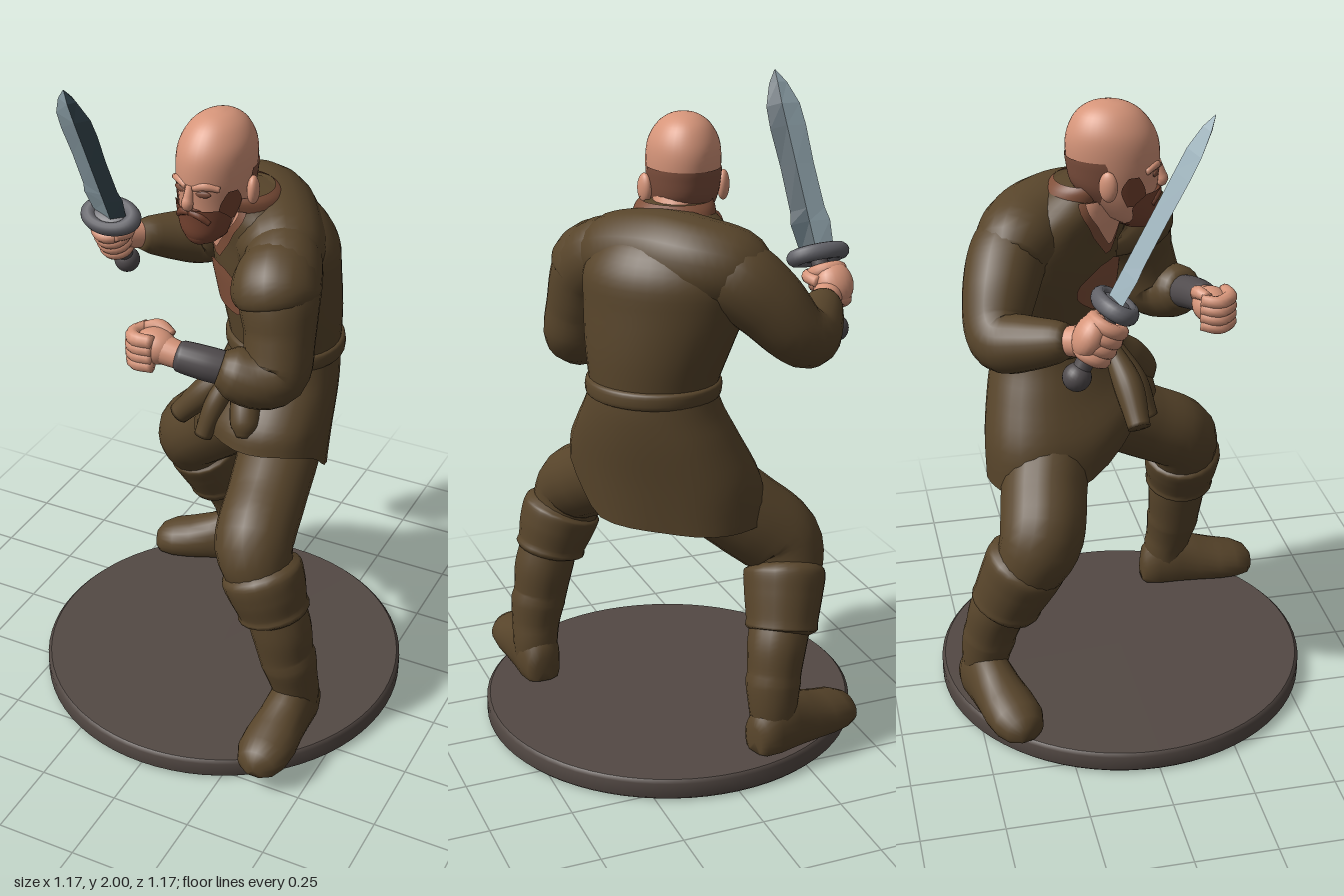
import * as THREE from 'three';
import { mergeVertices } from 'three/addons/utils/BufferGeometryUtils.js';

const mat = (name, color, side = THREE.FrontSide) => {
  const m = new THREE.MeshStandardMaterial({ color, side });
  m.name = name;
  return m;
};
const V = (x, y, z) => new THREE.Vector3(x, y, z);

// Skin a list of point rows into a surface, smooth or faceted
function loft(rows, { caps = true, flat = false } = {}) {
  const n = rows[0].length;
  if (caps) {
    const mid = (r) => {
      const c = V(0, 0, 0);
      r.slice(0, n - 1).forEach((p) => c.add(p));
      c.divideScalar(n - 1);
      return r.map(() => c.clone());
    };
    rows = [mid(rows[0]), ...rows, mid(rows[rows.length - 1])];
  }
  const index = [];
  for (let i = 0; i < rows.length - 1; i++) {
    for (let j = 0; j < n - 1; j++) {
      const a = i * n + j, b = a + n;
      index.push(a, a + 1, b + 1, a, b + 1, b);
    }
  }
  let g = new THREE.BufferGeometry().setFromPoints(rows.flat());
  g.setIndex(index);
  g = flat ? g.toNonIndexed() : mergeVertices(g, 1e-5);
  g.computeVertexNormals();
  return g;
}

// Round tapering limb through [x, y, z, radius] points
function limb(pts, steps = 24, sides = 20) {
  const curve = new THREE.CatmullRomCurve3(pts.map((p) => V(p[0], p[1], p[2])));
  const radii = new THREE.SplineCurve(pts.map((p, i) => new THREE.Vector2(i, p[3])));
  const f = curve.computeFrenetFrames(steps, false);
  const rows = [];
  for (let i = 0; i <= steps; i++) {
    const t = curve.getUtoTmapping(i / steps);
    const c = curve.getPoint(t), r = radii.getPoint(t).y;
    rows.push(Array.from({ length: sides + 1 }, (_, j) => {
      const a = (j / sides) * Math.PI * 2;
      return c.clone().addScaledVector(f.normals[i], r * Math.cos(a)).addScaledVector(f.binormals[i], r * Math.sin(a));
    }));
  }
  return loft(rows);
}

// Stacked level rings, bottom to top: [y, cx, cz, halfWidth, halfDepth, halfAngle]
function stack(rings, { yaw = 0, centre = 0, grow = 0, caps = true, rule } = {}) {
  const sides = 36, sub = 4, cs = Math.cos(yaw), sn = Math.sin(yaw);
  const rows = [];
  const curves = [1, 2, 3, 4, 5].map((k) => new THREE.SplineCurve(rings.map((r) => new THREE.Vector2(r[0], r[k] ?? Math.PI))));
  const total = (rings.length - 1) * sub;
  for (let i = 0; i <= total; i++) {
    const [cx, cz, w, d, half] = curves.map((c) => c.getPoint(i / total).y);
    const y = curves[0].getPoint(i / total).x;
    rows.push(Array.from({ length: sides + 1 }, (_, j) => {
      const a = centre + half * ((2 * j) / sides - 1);
      const x = (w + grow) * Math.sin(a), z = (d + grow) * Math.cos(a);
      const p = V(cx + x * cs - z * sn, y, cz + x * sn + z * cs);
      if (rule) rule(p, i / total, a);
      return p;
    }));
  }
  return loft(rows, { caps });
}

// Flat-soled shoe pointing along +z: [z, halfWidth, topHeight]
function shoe() {
  const prof = [[-0.085, 0.03, 0.08], [-0.075, 0.055, 0.12], [-0.03, 0.07, 0.17], [0.04, 0.072, 0.175],
    [0.11, 0.077, 0.14], [0.18, 0.085, 0.115], [0.24, 0.082, 0.1], [0.285, 0.062, 0.078], [0.305, 0.025, 0.05]];
  return loft(prof.map(([z, w, h]) => Array.from({ length: 25 }, (_, j) => {
    const a = (j / 24) * Math.PI * 2;
    return V(w * Math.cos(a), Math.max(0, h * 0.35 + h * 0.65 * Math.sin(a)), z);
  })));
}

export function createModel() {
  const model = new THREE.Group();
  const cloth = mat('brown cloth', 0x58452b, THREE.DoubleSide);
  const stone = mat('base brown', 0x534944);
  const skin = mat('skin', 0xd6957a);
  const beardMat = mat('beard brown', 0x774431, THREE.DoubleSide);
  const rust = mat('rust undershirt', 0x80503a, THREE.DoubleSide);
  const stubble = mat('stubble', 0x7d4f3d, THREE.DoubleSide);
  const bladeLight = mat('light steel', 0x9bb0b9, THREE.DoubleSide);
  const bladeDark = mat('dark steel', 0x3d5059, THREE.DoubleSide);
  const iron = mat('iron', 0x626268);
  const leather = mat('grey leather', 0x504b4d);

  const add = (name, geo, m, parent = model) => {
    const mesh = new THREE.Mesh(geo, m);
    mesh.name = name;
    parent.add(mesh);
    return mesh;
  };
  const ball = (name, m, x, y, z, rx, ry, rz, parent = model) => {
    const b = add(name, new THREE.SphereGeometry(1, 24, 16), m, parent);
    b.position.set(x, y, z);
    b.scale.set(rx, ry, rz);
    return b;
  };

  // Round stand with a softened rim
  add('stand', new THREE.LatheGeometry([[0, 0], [0.575, 0], [0.575, 0], [0.585, 0.01], [0.585, 0.055], [0.575, 0.065], [0.575, 0.065], [0, 0.065]]
    .map(([x, y]) => new THREE.Vector2(x, y)), 72), stone);

  // Legs: trousers, turned-down cuffs, boot shafts
  add('leftTrouser', limb([[0.14, 0.97, -0.17, 0.11], [0.17, 0.88, -0.06, 0.125], [0.2, 0.785, 0.11, 0.122], [0.225, 0.7, 0.25, 0.12], [0.255, 0.61, 0.265, 0.105], [0.28, 0.53, 0.265, 0.09]]), cloth);
  add('rightTrouser', limb([[0.06, 0.97, -0.19, 0.11], [-0.01, 0.87, -0.225, 0.13], [-0.14, 0.76, -0.265, 0.132], [-0.25, 0.66, -0.295, 0.128], [-0.257, 0.58, -0.33, 0.11], [-0.23, 0.5, -0.37, 0.09]]), cloth);
  add('leftCuff', limb([[0.25, 0.645, 0.265, 0.1], [0.258, 0.625, 0.267, 0.125], [0.278, 0.57, 0.268, 0.122], [0.297, 0.51, 0.268, 0.11], [0.303, 0.49, 0.268, 0.112], [0.306, 0.478, 0.268, 0.088]]), cloth);
  add('rightCuff', limb([[-0.25, 0.6, -0.33, 0.1], [-0.246, 0.58, -0.34, 0.124], [-0.232, 0.52, -0.365, 0.12], [-0.215, 0.445, -0.395, 0.11], [-0.21, 0.42, -0.403, 0.11], [-0.207, 0.408, -0.408, 0.088]]), cloth);
  add('leftBoot', limb([[0.3, 0.52, 0.268, 0.092], [0.327, 0.43, 0.265, 0.094], [0.343, 0.34, 0.262, 0.086], [0.351, 0.315, 0.26, 0.088], [0.364, 0.24, 0.25, 0.077], [0.37, 0.19, 0.24, 0.073], [0.37, 0.11, 0.235, 0.068]]), cloth);
  add('rightBoot', limb([[-0.215, 0.45, -0.39, 0.092], [-0.185, 0.38, -0.425, 0.09], [-0.168, 0.3, -0.447, 0.082], [-0.163, 0.275, -0.452, 0.084], [-0.158, 0.22, -0.463, 0.077], [-0.157, 0.12, -0.47, 0.066]]), cloth);
  [['leftShoe', 0.369, 0.24, 0], ['rightShoe', -0.165, -0.473, -1.27]].forEach(([name, x, z, turn]) => {
    const s = add(name, shoe(), cloth);
    s.position.set(x, 0.072, z);
    s.rotation.y = turn;
  });
  ball('trouserSeat', cloth, 0.08, 0.94, -0.18, 0.15, 0.12, 0.15);

  // Tunic body, turned towards the right hand
  const yaw = 0.7;
  const torso = [[1.13, 0.12, -0.185, 0.185, 0.16], [1.2, 0.118, -0.185, 0.193, 0.166], [1.3, 0.105, -0.188, 0.217, 0.175], [1.42, 0.085, -0.19, 0.242, 0.18],
    [1.52, 0.075, -0.187, 0.247, 0.178], [1.6, 0.056, -0.162, 0.2, 0.16], [1.65, 0.035, -0.13, 0.14, 0.125], [1.69, 0.015, -0.095, 0.09, 0.09]];
  add('tunicBody', stack(torso, { yaw }), cloth);
  add('shoulderYoke', limb([[-0.13, 1.5, -0.35, 0.09], [-0.08, 1.53, -0.325, 0.122], [0.01, 1.545, -0.265, 0.138], [0.09, 1.55, -0.16, 0.142], [0.175, 1.53, -0.03, 0.125], [0.2, 1.5, 0.02, 0.09]]), cloth);

  // Long skirt: hem high in front, low behind, with soft folds
  add('tunicSkirt', stack([[0.86, 0.06, -0.14, 0.318, 0.202], [0.95, 0.068, -0.148, 0.306, 0.205], [1.05, 0.098, -0.168, 0.256, 0.188], [1.12, 0.115, -0.18, 0.215, 0.174], [1.18, 0.12, -0.185, 0.19, 0.164]], {
    yaw: 0.93, caps: false,
    rule: (p, t, a) => {
      const k = (1 - t) ** 2;
      p.y += (0.17 * THREE.MathUtils.smoothstep(p.z, -0.19, 0.12) - 0.095) * k;
      p.x += 0.005 * Math.sin(a * 7) * k;
      p.z += 0.005 * Math.cos(a * 7) * k;
    },
  }), cloth);
  add('belt', stack([[1.15, 0.12, -0.185, 0.185, 0.163], [1.16, 0.12, -0.185, 0.2, 0.178], [1.195, 0.118, -0.186, 0.202, 0.178], [1.205, 0.118, -0.186, 0.19, 0.165]], { yaw }), cloth);

  // Belt knot, hanging ends and pouch
  ball('beltKnot', cloth, 0.05, 1.15, -0.02, 0.05, 0.035, 0.04);
  add('sashEnd', limb([[0.03, 1.13, -0.02, 0.03], [-0.05, 1.04, 0.015, 0.045], [-0.14, 0.94, 0.03, 0.035]]), cloth);
  add('sashTail', limb([[0.04, 1.14, -0.01, 0.025], [0.0, 1.03, 0.05, 0.035], [-0.03, 0.92, 0.085, 0.028]]), cloth);
  add('pouch', limb([[0.07, 1.15, 0.0, 0.025], [0.1, 1.08, 0.055, 0.045], [0.12, 1.01, 0.1, 0.045], [0.125, 0.975, 0.115, 0.025]]), cloth);
  add('beltStrap', limb([[0.13, 1.13, 0.025, 0.015], [0.19, 1.12, 0.025, 0.026], [0.26, 1.145, -0.025, 0.018]]), leather);

  // Undershirt and bare throat showing through the open tunic front
  const chest = (y, half) => {
    const i = Math.min(torso.findIndex((r) => r[0] > y), torso.length - 1);
    const lo = torso[i - 1], hi = torso[i], t = (y - lo[0]) / (hi[0] - lo[0]);
    return [...lo.map((v, k) => THREE.MathUtils.lerp(v, hi[k], t)), half];
  };
  add('undershirt', stack([chest(1.31, 0.3), chest(1.36, 0.55), chest(1.41, 0.5), chest(1.45, 0.15)], { yaw, grow: 0.009, caps: false }), rust);
  add('openCollar', stack([chest(1.48, 0.06), chest(1.55, 0.34), chest(1.6, 0.55), chest(1.66, 1)], { yaw, grow: 0.01, caps: false }), rust);
  add('throat', stack([chest(1.51, 0.04), chest(1.56, 0.24), chest(1.6, 0.42), chest(1.66, 0.85)], { yaw, grow: 0.015, caps: false }), skin);
  add('collar', stack([[1.64, 0.03, -0.12, 0.125, 0.115, 2.4], [1.68, 0.018, -0.1, 0.118, 0.11, 2.4], [1.7, 0.01, -0.09, 0.105, 0.1, 2.3]], { yaw, centre: Math.PI, caps: false }), rust);
  add('neck', limb([[0.02, 1.56, -0.11, 0.085], [0, 1.63, -0.08, 0.082], [-0.025, 1.72, -0.045, 0.082]]), skin);

  // Left arm held across the chest
  add('leftSleeve', limb([[0.13, 1.55, -0.08, 0.09], [0.185, 1.53, -0.005, 0.115], [0.214, 1.46, 0.075, 0.12], [0.236, 1.35, 0.115, 0.104], [0.235, 1.25, 0.15, 0.102], [0.195, 1.24, 0.19, 0.09], [0.13, 1.262, 0.218, 0.076], [0.1, 1.272, 0.228, 0.052]], 36), cloth);
  add('leftShoulderFold', limb([[0.17, 1.55, -0.01, 0.09], [0.19, 1.515, 0.035, 0.12], [0.208, 1.465, 0.085, 0.13], [0.216, 1.435, 0.095, 0.108]]), cloth);
  add('leftBracer', limb([[0.13, 1.262, 0.212, 0.05], [0.06, 1.28, 0.238, 0.051], [-0.015, 1.295, 0.256, 0.046], [-0.025, 1.297, 0.258, 0.035]]), leather);
  add('leftWrist', limb([[0.0, 1.292, 0.254, 0.038], [-0.07, 1.305, 0.258, 0.044]]), skin);
  ball('leftPalm', skin, -0.095, 1.308, 0.255, 0.066, 0.054, 0.056);
  for (let i = 0; i < 4; i++) {
    const y = 1.344 - i * 0.026, out = 0.006 * Math.sin((i + 0.5) * 0.8);
    add('leftFinger', limb([[-0.08, y, 0.3, 0.02], [-0.135, y, 0.302, 0.022], [-0.158 - out, y - 0.004, 0.262, 0.021], [-0.14, y, 0.215, 0.018]], 12, 10), skin);
  }
  add('leftThumb', limb([[-0.06, 1.33, 0.22, 0.02], [-0.1, 1.352, 0.215, 0.021], [-0.14, 1.35, 0.235, 0.016]], 10, 10), skin);

  // Right arm drawn back with the weapon
  add('rightSleeve', limb([[0.0, 1.54, -0.27, 0.1], [-0.07, 1.52, -0.335, 0.115], [-0.15, 1.45, -0.378, 0.11], [-0.23, 1.36, -0.405, 0.094], [-0.275, 1.335, -0.395, 0.09], [-0.335, 1.35, -0.33, 0.078], [-0.395, 1.375, -0.25, 0.058], [-0.41, 1.38, -0.23, 0.045]], 36), cloth);
  add('rightWrist', limb([[-0.39, 1.375, -0.26, 0.038], [-0.44, 1.39, -0.19, 0.046]]), skin);

  // Short sword and gripping hand, built upright along its own axis
  const sword = new THREE.Group();
  sword.name = 'sword';
  sword.position.set(-0.442, 1.49, -0.11);
  sword.quaternion.setFromUnitVectors(V(0, 1, 0), V(0.025, 0.51, 0.277).normalize());
  model.add(sword);
  const blade = [[0.01, 0.056], [0.1, 0.066], [0.14, 0.058], [0.28, 0.056], [0.4, 0.06], [0.47, 0.056], [0.54, 0.03], [0.582, 0.002]];
  const bladeHalf = (s) => loft(blade.map(([y, w]) => {
    const t = s * Math.min(0.024, w * 0.5), x = Math.min(0.014, w * 0.25);
    return [V(x, y, t), V(s * w, y, 0), V(x, y, -t)];
  }), { caps: false, flat: true });
  add('bladeLightHalf', bladeHalf(-1), bladeLight, sword);
  add('bladeDarkHalf', bladeHalf(1), bladeDark, sword);
  const guard = add('guardRim', new THREE.TorusGeometry(0.073, 0.028, 12, 36), iron, sword);
  guard.rotation.x = Math.PI / 2;
  guard.scale.set(1, 0.68, 0.9);
  ball('guardPlate', iron, 0, 0, 0, 0.08, 0.02, 0.055, sword);
  add('grip', new THREE.CylinderGeometry(0.026, 0.026, 0.22, 16), leather, sword).position.y = -0.11;
  ball('pommel', leather, 0, -0.228, 0, 0.041, 0.041, 0.041, sword);
  ball('rightPalm', skin, -0.018, -0.1, -0.03, 0.058, 0.066, 0.045, sword);
  for (let i = 0; i < 4; i++) {
    const finger = add('rightFinger', new THREE.TorusGeometry(0.043 - i * 0.002, 0.021, 10, 24), skin, sword);
    finger.rotation.x = Math.PI / 2;
    finger.position.set(-0.014, -0.055 - i * 0.031, 0.002);
  }
  add('rightThumb', limb([[0.03, -0.09, -0.03, 0.02], [0.042, -0.06, 0.01, 0.021], [0.02, -0.045, 0.045, 0.016]], 10, 10), skin, sword);

  // Bald head, turned slightly to its right
  const head = new THREE.Group();
  head.name = 'head';
  head.position.set(-0.038, 0, -0.02);
  head.rotation.y = -0.18;
  model.add(head);
  const skull = [[1.57, 0, 0.06, 0.035, 0.035], [1.6, 0, 0.04, 0.066, 0.07], [1.65, 0, 0.016, 0.088, 0.1], [1.7, 0, -0.004, 0.1, 0.124], [1.76, 0, -0.008, 0.108, 0.134],
    [1.82, 0, -0.012, 0.109, 0.134], [1.865, 0, -0.016, 0.1, 0.12], [1.905, 0, -0.02, 0.076, 0.092], [1.929, 0, -0.022, 0.044, 0.054], [1.938, 0, -0.022, 0.01, 0.012]];
  add('skull', stack(skull), skin, head);
  add('hairFringe', stack([...skull.slice(2, 5), [1.785, 0, -0.01, 0.109, 0.135]].map((r, i) => [...r, [0.9, 1.35, 1.45, 1.4][i]]), { centre: Math.PI, grow: 0.003, caps: false }), stubble, head);
  add('beard', stack([[...skull[0], 3.1], [...skull[1], 1.6], [...skull[2], 1.3], [1.685, 0, 0.002, 0.096, 0.119, 0.85]], { grow: 0.008, caps: false }), beardMat, head);
  // Sideburns run from the beard up to the ears
  [-1, 1].forEach((s) => add('sideburn', stack([[...skull[2], 0.3], [...skull[3], 0.3], [1.74, 0, -0.007, 0.106, 0.132, 0.12]], { centre: s * 1.15, grow: 0.004, caps: false }), beardMat, head));
  ball('chinBeard', beardMat, 0, 1.597, 0.082, 0.045, 0.038, 0.032, head);
  add('nose', limb([[0, 1.755, 0.117, 0.012], [0, 1.72, 0.128, 0.015], [0, 1.7, 0.132, 0.018], [0, 1.687, 0.122, 0.012]], 12, 12), skin, head);
  [-1, 1].forEach((s) => {
    add('moustache', limb([[0, 1.675, 0.118, 0.013], [s * 0.03, 1.668, 0.114, 0.014], [s * 0.055, 1.645, 0.1, 0.009]], 10, 10), beardMat, head);
    add('brow', limb([[s * 0.012, 1.75, 0.12, 0.01], [s * 0.045, 1.76, 0.109, 0.013], [s * 0.08, 1.75, 0.085, 0.009]], 10, 10), skin, head);
    ball('eye', stubble, s * 0.042, 1.735, 0.112, 0.023, 0.01, 0.006, head).rotation.y = s * 0.35;
    ball('ear', skin, s * 0.117, 1.72, -0.025, 0.018, 0.045, 0.028, head).rotation.y = s * 0.4;
  });
  return model;
}
